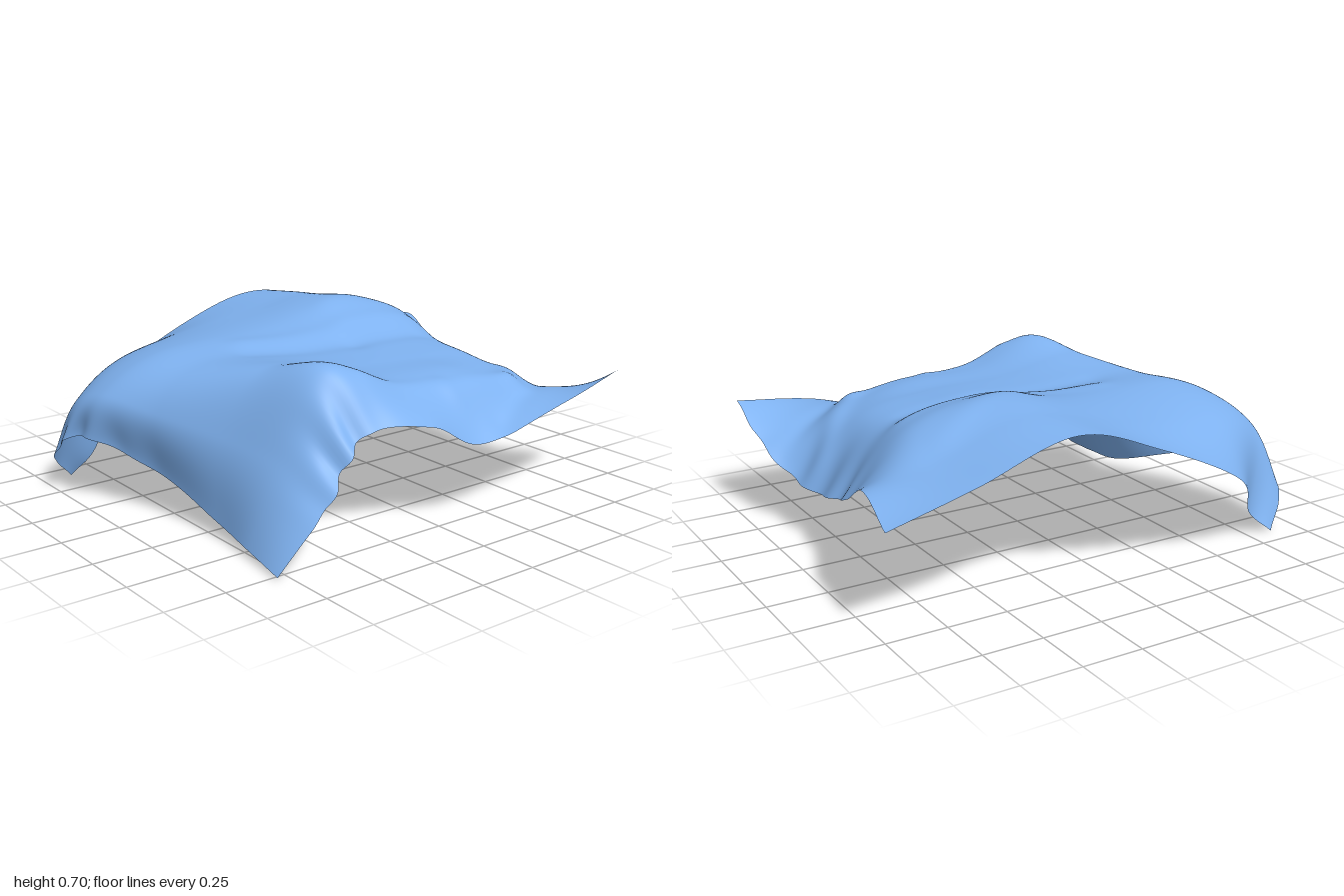
import * as THREE from 'three';

// Cross-sections of the cloth, back hem to front hem, each running from -x to +x
const sections = [
  [[-.87, 0, -.66], [-.74, .11, -.66], [-.53, .35, -.83], [-.1, .56, -.86], [.24, .655, -.81], [.66, .54, -.82], [1, .43, -.78]],
  [[-.99, .14, -.56], [-.91, .36, -.51], [-.64, .52, -.56], [-.1, .6, -.6], [.3, .675, -.57], [.7, .55, -.56], [.96, .49, -.52]],
  [[-.97, .28, -.34], [-.91, .46, -.28], [-.64, .6, -.27], [-.1, .62, -.29], [.28, .69, -.29], [.65, .61, -.29], [.91, .37, -.27]],
  [[-.8, .175, -.02], [-.81, .42, -.01], [-.6, .595, 0], [-.1, .578, .03], [.28, .59, .02], [.62, .525, .02], [.86, .28, -.02]],
  [[-.75, .065, .3], [-.7, .38, .28], [-.51, .625, .29], [-.1, .57, .3], [.27, .555, .32], [.6, .5, .3], [.85, .22, .33]],
  [[-.77, .03, .55], [-.63, .33, .56], [-.42, .66, .56], [-.08, .555, .58], [.27, .525, .6], [.62, .45, .58], [.92, .345, .6]],
  [[-.8, .01, .78], [-.57, .23, .78], [-.37, .44, .74], [-.1, .44, .81], [.15, .33, .83], [.58, .43, .86], [.95, .49, .81]],
];

// Soft creases: start x, z, end x, z, width, height
const creases = [
  [-.35, -.03, .1, .04, .07, -.01],
  [-.3, -.15, .1, -.08, .06, .008],
  [.15, .06, .5, .03, .06, -.01],
  [.2, -.1, .6, -.12, .06, .01],
  [.2, -.25, .6, -.45, .07, .006],
  [-.25, .6, .1, .62, .05, .01],
  [.15, .66, .5, .62, .06, .018],
  [.5, .62, .78, .3, .06, .018],
  [.3, .78, .85, .5, .06, -.012],
];

const smoothCurve = (points) => new THREE.CatmullRomCurve3(points, false, 'catmullrom', 0.5);
const bump = (d, w) => Math.exp(-(d * d) / (w * w));

function creaseHeight(x, z) {
  let h = 0;
  for (const [x0, z0, x1, z1, width, height] of creases) {
    const dx = x1 - x0, dz = z1 - z0;
    const t = THREE.MathUtils.clamp(((x - x0) * dx + (z - z0) * dz) / (dx * dx + dz * dz), 0, 1);
    h += height * bump(Math.hypot(x - x0 - t * dx, z - z0 - t * dz), width);
  }
  return h;
}

function clothGeometry(n) {
  const rows = sections.map((s) => smoothCurve(s.map((p) => new THREE.Vector3(...p))));
  const geometry = new THREE.PlaneGeometry(2, 2, n, n);
  const position = geometry.attributes.position;
  for (let i = 0; i <= n; i++) {
    const u = i / n;
    const column = smoothCurve(rows.map((r) => r.getPoint(u)));
    for (let j = 0; j <= n; j++) {
      const v = j / n;
      const p = column.getPoint(v);
      p.y += creaseHeight(p.x, p.z);
      // Puckers in the front hem
      p.z += 0.02 * Math.sin(u * 75) * bump(u - 0.25, 0.09) * bump(1 - v, 0.12);
      // Puckers in the side hems
      p.x += 0.015 * Math.sin(v * 65) * bump(v - 0.3, 0.12) * bump(u, 0.08);
      p.x += 0.01 * Math.sin(v * 50) * bump(v - 0.6, 0.3) * bump(1 - u, 0.08);
      position.setXYZ(j * (n + 1) + i, p.x, p.y, p.z);
    }
  }
  geometry.computeVertexNormals();
  geometry.computeBoundingBox();
  geometry.translate(0, -geometry.boundingBox.min.y, 0);
  return geometry;
}

export function createModel() {
  const group = new THREE.Group();
  group.name = 'drapedCloth';
  const material = new THREE.MeshStandardMaterial({ color: 0x7fb2f0, side: THREE.DoubleSide });
  const cloth = new THREE.Mesh(clothGeometry(120), material);
  cloth.name = 'cloth';
  group.add(cloth);
  return group;
}
